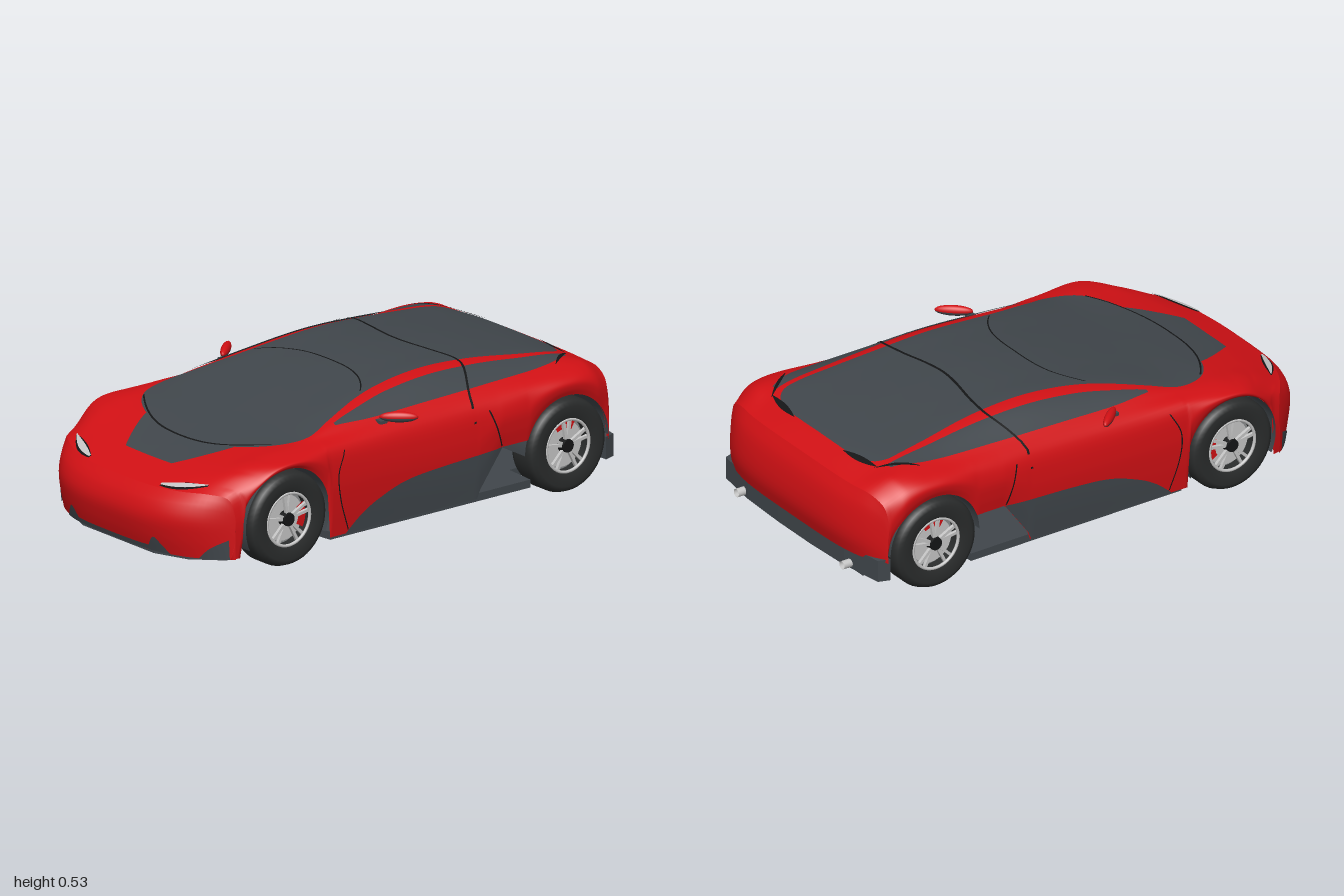
import * as THREE from 'three';

const mat = (name, color) => Object.assign(new THREE.MeshStandardMaterial({ color, side: THREE.DoubleSide }), { name });
const red = mat('red paint', 0xd01014), dark = mat('dark grey panel', 0x40464b), black = mat('black trim', 0x141516);
const rubber = mat('tyre rubber', 0x2a2c2c), silver = mat('silver', 0xc6c6c6), steel = mat('brake steel', 0x8c8e90);

// Smooth curve through [t, value] pairs
const curve = (...p) => t => {
  const last = p.length - 1;
  if (t <= p[0][0]) return p[0][1];
  if (t >= p[last][0]) return p[last][1];
  let i = 0;
  while (p[i + 1][0] < t) i++;
  const slope = k => {
    const a = p[Math.max(k - 1, 0)], b = p[Math.min(k + 1, last)];
    return (b[1] - a[1]) / (b[0] - a[0]);
  };
  const h = p[i + 1][0] - p[i][0], s = (t - p[i][0]) / h, s2 = s * s, s3 = s2 * s;
  return (2 * s3 - 3 * s2 + 1) * p[i][1] + (s3 - 2 * s2 + s) * h * slope(i)
    + (3 * s2 - 2 * s3) * p[i + 1][1] + (s3 - s2) * h * slope(i + 1);
};
const lerp = THREE.MathUtils.lerp, smooth = THREE.MathUtils.smoothstep;

// Surface from a function of u and v in 0..1
function grid(fn, nu, nv) {
  const pos = [], idx = [];
  for (let j = 0; j <= nv; j++) for (let i = 0; i <= nu; i++) pos.push(...fn(i / nu, j / nv));
  for (let j = 0; j < nv; j++) for (let i = 0; i < nu; i++) {
    const a = j * (nu + 1) + i, b = a + nu + 1;
    idx.push(a, a + 1, b, a + 1, b + 1, b);
  }
  const g = new THREE.BufferGeometry();
  g.setAttribute('position', new THREE.Float32BufferAttribute(pos, 3));
  g.setIndex(idx);
  g.computeVertexNormals();
  return g;
}

// Body lines along the length
const WHEELS = [0.577, -0.712], HUB = 0.176, ARCH = 0.19, FRONT = 0.94, REAR = -0.95, N = 35;
const halfWidth = curve([-0.95, 0.49], [-0.88, 0.508], [-0.6, 0.51], [0, 0.502], [0.6, 0.512], [0.8, 0.503], [0.94, 0.475]);
const shoulderY = curve([-0.95, 0.37], [-0.85, 0.42], [-0.7, 0.43], [-0.5, 0.41], [-0.2, 0.388], [0.2, 0.385], [0.55, 0.393], [0.75, 0.37], [0.94, 0.29]);
const beltX = curve([-0.95, 0.41], [-0.75, 0.43], [0.4, 0.43], [0.94, 0.4]);
const beltY = curve([-0.95, 0.4], [-0.85, 0.447], [-0.6, 0.449], [-0.2, 0.44], [0.2, 0.425], [0.4, 0.412], [0.6, 0.4], [0.8, 0.36], [0.94, 0.302]);
const railX = curve([-0.95, 0.3], [-0.8, 0.335], [-0.4, 0.325], [0, 0.335], [0.2, 0.365], [0.4, 0.395], [0.6, 0.33], [0.94, 0.3]);
const railY = curve([-0.95, 0.403], [-0.8, 0.46], [-0.6, 0.487], [-0.4, 0.506], [-0.2, 0.513], [0, 0.497], [0.2, 0.463], [0.4, 0.421], [0.6, 0.395], [0.8, 0.35], [0.94, 0.298]);
const centreY = curve([-0.95, 0.405], [-0.85, 0.45], [-0.6, 0.498], [-0.4, 0.52], [-0.2, 0.527], [0, 0.511], [0.2, 0.475], [0.4, 0.431], [0.65, 0.376], [0.8, 0.338], [0.94, 0.292]);

// Bends both ends into a bow as seen from above
const warp = (x, t) => t - 0.17 * smooth(t, 0.5, 1) * Math.abs(x / 0.5) ** 3
  + 0.05 * smooth(-t, 0.7, 1) * Math.abs(x / 0.5) ** 4;

// Lower edge of the body side: arches, side intake and rear bumper
function lowerEdge(z) {
  let y = z < -0.85 ? 0.15 : 0.065;
  if (z > -0.56 && z < -0.3) y = lerp(0.085, 0.235, Math.min((-0.3 - z) / 0.11, 1));
  for (const c of WHEELS) if (Math.abs(z - c) < ARCH) y = Math.max(y, HUB + Math.sqrt(ARCH ** 2 - (z - c) ** 2));
  return y;
}

// Half cross-section, from the lower side edge to the centre of the roof
function section(t) {
  const w = halfWidth(t), yb = lowerEdge(warp(w, t)), ys = Math.max(shoulderY(t), yb + 0.015);
  const pts = [[w - 0.008, yb], [w, lerp(yb, ys, 0.35)], [w, lerp(yb, ys, 0.7)], [w - 0.02, ys], [beltX(t), Math.max(beltY(t), ys + 0.005)],
    [railX(t), railY(t)], [0.17, lerp(centreY(t), railY(t), 0.22)], [0, centreY(t)]];
  return new THREE.CatmullRomCurve3(pts.map(([x, y]) => new THREE.Vector3(x, y, 0))).getPoints(N);
}
function topY(x, t) {
  const s = section(t);
  let i = N;
  while (i > 1 && s[i - 1].x < x) i--;
  const a = s[i], b = s[i - 1];
  return lerp(a.y, b.y, THREE.MathUtils.clamp((x - a.x) / (b.x - a.x || 1), 0, 1));
}
function sideX(y, t) {
  const s = section(t);
  let i = 0;
  while (i < N - 1 && s[i + 1].y < y) i++;
  return lerp(s[i].x, s[i + 1].x, THREE.MathUtils.clamp((y - s[i].y) / (s[i + 1].y - s[i].y || 1), 0, 1));
}
const noseBulge = curve([0, 0.5], [0.3, 0.85], [0.6, 1], [0.85, 0.62], [1, 0]);
const tailBulge = curve([0, 0.65], [0.25, 1], [0.5, 0.97], [0.8, 0.6], [1, 0]);
const noseZ = (x, v) => warp(x, FRONT) + 0.06 * noseBulge(v) * (1 - (Math.abs(x) / 0.48) ** 6);
const tailZ = (x, v) => warp(x, REAR) - 0.05 * tailBulge(v) * (1 - (Math.abs(x) / 0.5) ** 6);

// Points lying just off the skin
const onTop = (x, t, off = 0.005) => [x, topY(Math.abs(x), t) + off, warp(x, t)];
const onSide = (s, y, t, off = 0.004) => { const x = sideX(y, t); return [s * (x + off), y, warp(x, t)]; };
const onNose = (x, y) => [x, y, noseZ(x, (y - 0.065) / (topY(Math.abs(x), FRONT) - 0.065)) + 0.005];

export function createModel() {
  const car = new THREE.Group();
  car.name = 'sportsCar';
  const add = (name, geo, material, parent = car) => {
    const m = new THREE.Mesh(geo, material);
    m.name = name;
    parent.add(m);
    return m;
  };

  // Painted shell with nose and tail faces
  const ringPoint = (s, u) => {
    const i = Math.round(u * 2 * N), p = s[Math.min(i, 2 * N - i)];
    return [i <= N ? p.x : -p.x, p.y];
  };
  const rows = 180, sections = Array.from({ length: rows + 1 }, (_, j) => section(lerp(REAR, FRONT, j / rows)));
  add('bodyShell', grid((u, v) => {
    const [x, y] = ringPoint(sections[Math.round(v * rows)], u);
    return [x, y, warp(x, lerp(REAR, FRONT, v))];
  }, 2 * N, rows), red);
  const cap = (name, s, zAt, flip) => add(name, grid((u, v) => {
    const [x, y] = ringPoint(s, flip ? 1 - u : u);
    return [x, lerp(s[0].y, y, 1 - v), zAt(x, 1 - v)];
  }, 2 * N, 14), red);
  cap('nose', sections[rows], noseZ, false);
  cap('tail', sections[0], tailZ, true);

  // Canopy glass and bonnet panel
  const canopyX = curve([-0.865, 0.22], [-0.84, 0.29], [-0.78, 0.325], [-0.4, 0.295], [-0.1, 0.295], [0.1, 0.318], [0.3, 0.375],
    [0.4, 0.405], [0.5, 0.388], [0.58, 0.325], [0.63, 0.225], [0.655, 0.1], [0.662, 0]);
  add('canopyGlass', grid((u, v) => { const t = lerp(-0.865, 0.662, v); return onTop(lerp(1, -1, u) * canopyX(t), t); }, 40, 100), dark);
  add('bonnetPanel', grid((u, v) => onTop(lerp(1, -1, u) * lerp(0.25, 0.13, v ** 1.3), lerp(0.61, 0.812, v), 0.004), 24, 20), dark);

  // Thin black seams over the top
  const seam = (name, x0, x1, tAt, w = 0.006) => add(name, grid((u, v) => { const x = lerp(x1, x0, u); return onTop(x, tAt(x) + (v - 0.5) * w, 0.008); }, 40, 1), black);
  seam('roofSeam', -0.3, 0.3, x => -0.02 + 0.1 * Math.abs(x / 0.3) ** 3);
  seam('rearGlassSeam', -0.5, 0.5, x => -0.31 - 0.04 * smooth(Math.abs(x), 0, 0.3) + 0.08 * smooth(Math.abs(x), 0.3, 0.5) - 0.02, 0.01);
  seam('windscreenSeam', -0.36, 0.36, x => 0.664 - 0.125 * Math.abs(x / 0.36) ** 2.4, 0.008);

  for (const s of [1, -1]) {
    // Side windows
    const outer = curve([-0.82, 0.37], [-0.7, 0.41], [-0.4, 0.425], [0, 0.425], [0.15, 0.42], [0.28, 0.405]);
    add('sideWindow', grid((u, v) => {
      const t = lerp(-0.82, 0.28, v), xo = outer(t);
      return onTop(s * lerp(xo, Math.min(railX(t) + 0.012, xo), u), t);
    }, 8, 60), dark);

    // Dark lower door panel
    const panelTop = curve([-0.41, 0.237], [-0.1, 0.222], [0.05, 0.205], [0.18, 0.16], [0.25, 0.12], [0.31, 0.07]);
    add('lowerDoorPanel', grid((u, v) => {
      const t = lerp(-0.41, 0.31, v), y0 = lowerEdge(t);
      return onSide(s, lerp(y0, Math.max(panelTop(t), y0), u), t);
    }, 8, 50), dark);

    // Door shut lines
    const doorFront = curve([0.08, 0.3], [0.2, 0.34], [0.3, 0.348], [0.38, 0.31]);
    const doorRear = y => lerp(-0.41, -0.36, (y - 0.24) / 0.14);
    add('doorFrontSeam', grid((u, v) => { const y = lerp(0.08, 0.38, v); return onSide(s, y, doorFront(y) + u * 0.005); }, 1, 20), black);
    add('doorRearSeam', grid((u, v) => { const y = lerp(0.24, 0.385, v); return onSide(s, y, doorRear(y) + u * 0.006); }, 1, 12), black);

    // Headlight slit with dark surround
    const lamp = (w, off) => (u, v) => onTop(s * lerp(0.2, 0.37, u), lerp(0.928, 0.9, u) + (v - 0.5) * w * Math.sin(Math.PI * (0.1 + 0.85 * u)), off);
    add('headlightSurround', grid(lamp(0.044, 0.004), 20, 6), black);
    add('headlight', grid(lamp(0.028, 0.008), 20, 6), silver);

    // Tail light slit and deck vent
    add('tailLight', grid((u, v) => onTop(s * lerp(0.32, 0.425, u), lerp(-0.86, -0.72, u) + (v - 0.5) * 0.025 * Math.sin(Math.PI * u), 0.006), 14, 3), black);
    add('deckVent', grid((u, v) => onTop(s * lerp(0.15, 0.33, u), lerp(-0.872, -0.85, u) + (v - 0.5) * 0.024 * Math.sin(Math.PI * u), 0.008), 14, 3), black);

    // Dark bumper intakes
    const intake = (x0, x1, yTop) => add('bumperIntake', grid((u, v) => { const x = lerp(x0, x1, u); return onNose(s * x, lerp(0.066, yTop(u), v)); }, 14, 5), dark);
    intake(0.195, 0.285, curve([0, 0.085], [0.35, 0.125], [0.6, 0.11], [1, 0.067]));
    intake(0.385, 0.466, curve([0, 0.067], [0.4, 0.105], [1, 0.14]));

    // Wing mirror
    const mirror = new THREE.Group();
    mirror.name = 'wingMirror';
    mirror.position.set(s * 0.487, 0.446, 0.055);
    mirror.rotation.y = s * 0.85;
    const shell = (y0, len) => new THREE.SphereGeometry(1, 20, 8, 0, Math.PI * 2, y0, len).scale(0.07, 0.02, 0.017);
    add('mirrorCap', shell(0, Math.PI * 0.55), red, mirror);
    add('mirrorBase', shell(Math.PI * 0.55, Math.PI * 0.45), dark, mirror);
    car.add(mirror);
    add('mirrorStalk', new THREE.BoxGeometry(0.05, 0.012, 0.03).translate(s * 0.435, 0.428, 0.1), dark);

    // Exhaust tip
    add('exhaust', new THREE.CylinderGeometry(0.016, 0.016, 0.05, 16, 1, true).rotateX(Math.PI / 2).translate(s * 0.33, 0.1, -0.975), silver);

    WHEELS.forEach((z, k) => {
      // Arch liner
      const a = k ? 0 : -0.45;
      add('archLiner', grid((u, v) => {
        const q = lerp(a, Math.PI - a, u);
        return [s * lerp(0.35, 0.498, v), HUB + (ARCH + 0.003) * Math.sin(q), z + (ARCH + 0.003) * Math.cos(q)];
      }, 32, 1), dark);

      // Wheel
      const wheel = new THREE.Group();
      wheel.name = k ? 'rearWheel' : 'frontWheel';
      wheel.position.set(s * 0.45, HUB, z);
      wheel.rotation.y = s > 0 ? 0 : Math.PI;
      const tyre = [[0.1, -0.05], [0.106, -0.06], [0.15, -0.064], [0.168, -0.055], [0.176, -0.035], [0.176, 0.035], [0.168, 0.055],
        [0.15, 0.064], [0.106, 0.06], [0.1, 0.05], [0.1, -0.05]].map(p => new THREE.Vector2(...p));
      add('tyre', new THREE.LatheGeometry(tyre, 48).rotateZ(-Math.PI / 2), rubber, wheel);
      add('rimLip', new THREE.TorusGeometry(0.098, 0.006, 8, 48).rotateY(Math.PI / 2).translate(0.052, 0, 0), silver, wheel);
      add('brakeDisc', new THREE.CylinderGeometry(0.086, 0.086, 0.01, 40).rotateZ(Math.PI / 2).translate(0.02, 0, 0), silver, wheel);
      add('rimBack', new THREE.CylinderGeometry(0.1, 0.1, 0.008, 40).rotateZ(Math.PI / 2).translate(0.005, 0, 0), steel, wheel);
      for (let i = 0; i < 10; i++) {
        const tilt = (i % 2 ? 1 : -1) * 0.16 + Math.floor(i / 2) * Math.PI * 0.4;
        add('spoke', new THREE.BoxGeometry(0.012, 0.085, 0.011).translate(0.045, 0.056, 0).rotateX(tilt), silver, wheel);
      }
      add('hub', new THREE.CylinderGeometry(0.024, 0.028, 0.03, 20).rotateZ(-Math.PI / 2).translate(0.043, 0, 0), black, wheel);
      car.add(wheel);

      // Brake caliper
      const mid = k ? Math.PI * 0.5 : Math.PI;
      add('brakeCaliper', grid((u, v) => {
        const q = mid + (u - 0.5) * 1.1, r = lerp(0.06, 0.093, v);
        return [s * 0.484, HUB + r * Math.sin(q), z + r * Math.cos(q)];
      }, 12, 1), red);
    });
  }

  // Lip between the bumper intakes
  add('frontLip', grid((u, v) => onNose(lerp(0.2, -0.2, u), lerp(0.068, 0.086, v)), 20, 2), dark);

  // Floor pan and rear valance, flat plates drawn in plan
  const plate = (name, half, top, depth) => {
    const shape = new THREE.Shape([...half, ...half.map(([x, z]) => [-x, z]).reverse()].map(p => new THREE.Vector2(...p)));
    add(name, new THREE.ExtrudeGeometry(shape, { depth, bevelEnabled: false }).rotateX(Math.PI / 2).translate(0, top, 0), dark);
  };
  plate('floorPan', [[0.2, 0.95], [0.33, 0.9], [0.43, 0.8], [0.36, 0.77], [0.36, 0.385], [0.485, 0.37], [0.49, -0.55], [0.36, -0.56], [0.36, -0.93]], 0.08, 0.03);
  plate('rearValance', [[0.49, -0.9], [0.475, -0.945], [0.3, -0.97], [0.1, -0.978]], 0.165, 0.085);
  return car;
}
